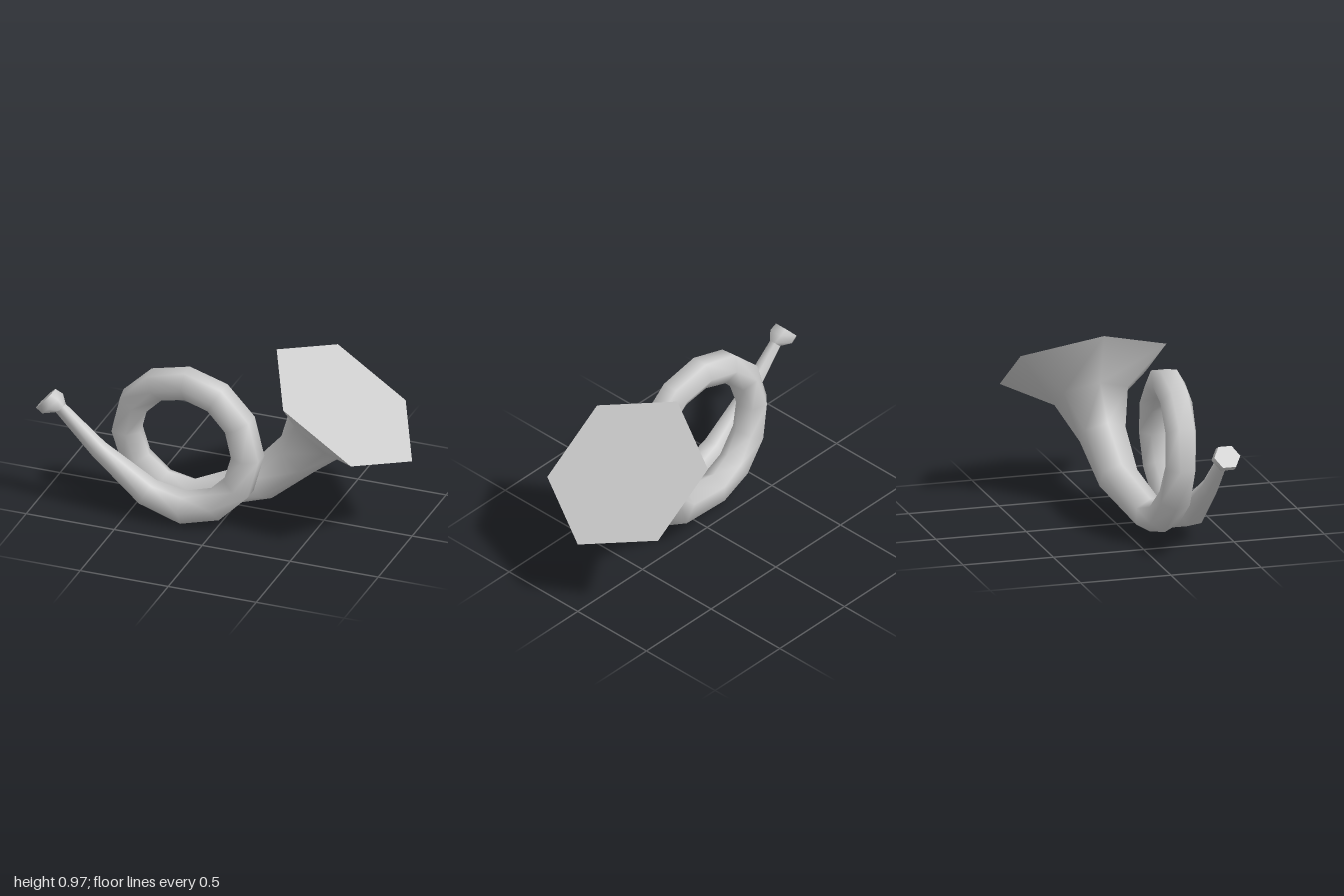
import * as THREE from 'three';

const SIDES = 6;
const rad = THREE.MathUtils.degToRad;

// Sweeps a hexagon through rings { x, y, z, r, phase, angle } (angle = heading in the xy plane, degrees)
function sweep(rings) {
  const positions = [], index = [];
  const corners = rings.map((ring, i) => {
    const a = rings[Math.max(i - 1, 0)], b = rings[Math.min(i + 1, rings.length - 1)];
    const heading = ring.angle !== undefined ? rad(ring.angle) : Math.atan2(b.y - a.y, b.x - a.x);
    return Array.from({ length: SIDES }, (_, j) => {
      const t = rad(ring.phase) + (j / SIDES) * Math.PI * 2;
      const inPlane = Math.cos(t) * ring.r;
      return [
        ring.x - Math.sin(heading) * inPlane,
        ring.y + Math.cos(heading) * inPlane,
        ring.z + Math.sin(t) * ring.r,
      ];
    });
  });
  corners.forEach((c) => c.forEach((p) => positions.push(...p)));
  for (let i = 0; i < rings.length - 1; i++) {
    for (let j = 0; j < SIDES; j++) {
      const k = (j + 1) % SIDES;
      const a = i * SIDES + j, b = i * SIDES + k;
      index.push(a, b, b + SIDES, a, b + SIDES, a + SIDES);
    }
  }
  // flat caps with their own corners, so the rims stay sharp
  [[corners[0], true], [corners[corners.length - 1], false]].forEach(([c, flip]) => {
    const start = positions.length / 3;
    c.forEach((p) => positions.push(...p));
    for (let j = 1; j < SIDES - 1; j++) {
      index.push(start, start + (flip ? j + 1 : j), start + (flip ? j : j + 1));
    }
  });
  const geometry = new THREE.BufferGeometry();
  geometry.setAttribute('position', new THREE.Float32BufferAttribute(positions, 3));
  geometry.setIndex(index);
  geometry.computeVertexNormals();
  return geometry;
}

const ring = (x, y, z, r, phase, angle) => ({ x, y, z, r, phase, angle });

export function createModel() {
  const group = new THREE.Group();
  group.name = 'horn';
  const material = new THREE.MeshStandardMaterial({ color: 0xcccccc });
  const add = (name, rings) => {
    const mesh = new THREE.Mesh(sweep(rings), material);
    mesh.name = name;
    group.add(mesh);
  };

  // mouthpiece: a small flared knob at the end of the thin pipe
  add('mouthpiece', [
    ring(-0.957, 0.617, 0.325, 0.072, 30, -42),
    ring(-0.917, 0.593, 0.325, 0.076, 30, -42),
    ring(-0.87, 0.575, 0.325, 0.034, 30, -45),
  ]);

  // thin lead pipe widening towards the loop
  const body = [
    ring(-0.88, 0.583, 0.325, 0.034, 30, -45),
    ring(-0.66, 0.37, 0.32, 0.05, 30),
    ring(-0.385, 0.155, 0.305, 0.078, 30),
  ];

  // one full turn in twelve steps, drifting backwards
  for (let i = 0; i <= 12; i++) {
    const a = rad(-90 + i * 30);
    const z = 0.29 - 0.1 * (i / 12) - 0.06 * (i / 12) ** 3;
    const phase = 30 * (1 - THREE.MathUtils.clamp((i - 6) / 6, 0, 1));
    body.push(ring(-0.19 + 0.357 * Math.cos(a), 0.45 + 0.357 * Math.sin(a), z, 0.09, phase, i * 30));
  }

  // flaring bell with a flat mouth
  body.push(
    ring(0.165, 0.205, 0.06, 0.11, 0, 33),
    ring(0.365, 0.392, 0.033, 0.13, 0, 47),
    ring(0.492, 0.57, 0.008, 0.206, 0, 54.4),
    ring(0.615, 0.713, 0, 0.466, 0, 55.7),
  );
  add('tubeAndBell', body);
  return group;
}
